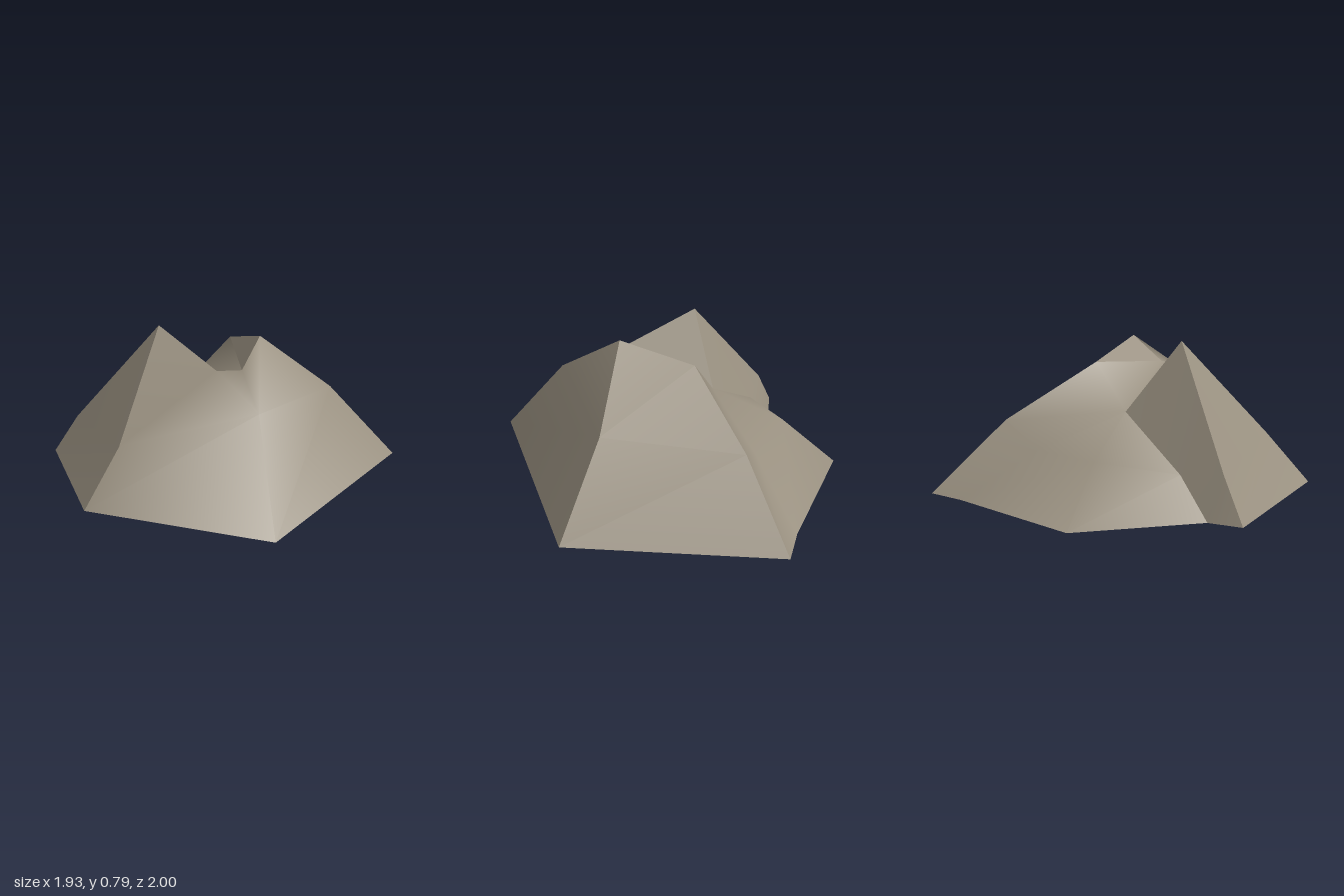
import * as THREE from 'three';

// Corners of the rock: eight ribs rising from foot to shoulder to summit
const P = {
  // foot, counter-clockwise from above
  foot0: [-0.97, 0, -0.26], foot1: [-0.77, 0, 0.565], foot2: [0.11, 0, 0.995], foot3: [0.965, 0, 0.01],
  foot4: [0.49, 0, -1], foot5: [0.29, 0, -0.955], foot6: [-0.45, 0, -0.88], foot7: [-0.81, 0, -0.325],
  // shoulder
  mid0: [-0.83, 0.215, -0.235], mid1: [-0.59, 0.27, 0.415], mid2: [0.09, 0.475, 0.585], mid3: [0.58, 0.42, 0.012],
  mid4: [0.29, 0.37, -0.66], mid5: [0.07, 0.24, -0.62], mid6: [-0.33, 0.25, -0.6], mid7: [-0.6, 0.18, -0.285],
  // summit: two peaks with a gully between them
  tallPeak: [-0.36, 0.785, -0.02], lowPeak: [0.16, 0.755, 0.15], backRidge: [0.05, 0.655, -0.24],
  lipRight: [-0.08, 0.605, 0.265], lipLeft: [0.05, 0.605, 0.265], gully: [-0.175, 0.42, -0.24],
};

// One smooth-shaded side of the rock; borders between sides stay sharp
function side(name, material, polygons) {
  const keys = [...new Set(polygons.flat())];
  const index = [];
  for (const poly of polygons) {
    const ids = poly.map((k) => keys.indexOf(k));
    for (let i = 1; i < ids.length - 1; i++) index.push(ids[0], ids[i], ids[i + 1]);
  }
  const geometry = new THREE.BufferGeometry();
  geometry.setAttribute('position', new THREE.Float32BufferAttribute(keys.flatMap((k) => P[k]), 3));
  geometry.setIndex(index);
  geometry.computeVertexNormals();
  const mesh = new THREE.Mesh(geometry, material);
  mesh.name = name;
  return mesh;
}

// Lower band between two neighbouring ribs
const band = (i) => {
  const j = (i + 1) % 8;
  return [`foot${i}`, `foot${j}`, `mid${j}`, `mid${i}`];
};

export function createModel() {
  const stone = new THREE.MeshStandardMaterial({ color: 0x999080 });
  stone.name = 'stone';

  const rock = new THREE.Group();
  rock.name = 'rock';
  rock.add(
    side('frontSlope', stone, [
      band(1), band(2),
      ['mid1', 'lipRight', 'tallPeak'], ['mid1', 'mid2', 'lipRight'],
      ['mid2', 'lipLeft', 'lipRight'], ['mid2', 'lowPeak', 'lipLeft'], ['mid2', 'mid3', 'lowPeak'],
    ]),
    side('leftFace', stone, [band(3), ['mid3', 'mid4', 'backRidge', 'lowPeak']]),
    // Back slope runs up into the gully floor
    side('backSlope', stone, [
      band(4), band(5), band(6),
      ['mid4', 'mid5', 'gully', 'backRidge'], ['mid5', 'mid6', 'gully'], ['mid6', 'mid7', 'gully'],
      ['lipLeft', 'backRidge', 'gully', 'lipRight'],
    ]),
    side('backLedge', stone, [band(7), ['mid7', 'mid0', 'tallPeak', 'gully']]),
    side('rightFace', stone, [band(0), ['mid0', 'mid1', 'tallPeak']]),
    side('tallPeakInnerWall', stone, [['lipRight', 'gully', 'tallPeak']]),
    side('lowPeakInnerWall', stone, [['backRidge', 'lipLeft', 'lowPeak']]),
    side('underside', stone, [['foot2', 'foot1', 'foot0', 'foot7', 'foot6', 'foot5', 'foot4', 'foot3']]),
  );
  return rock;
}
